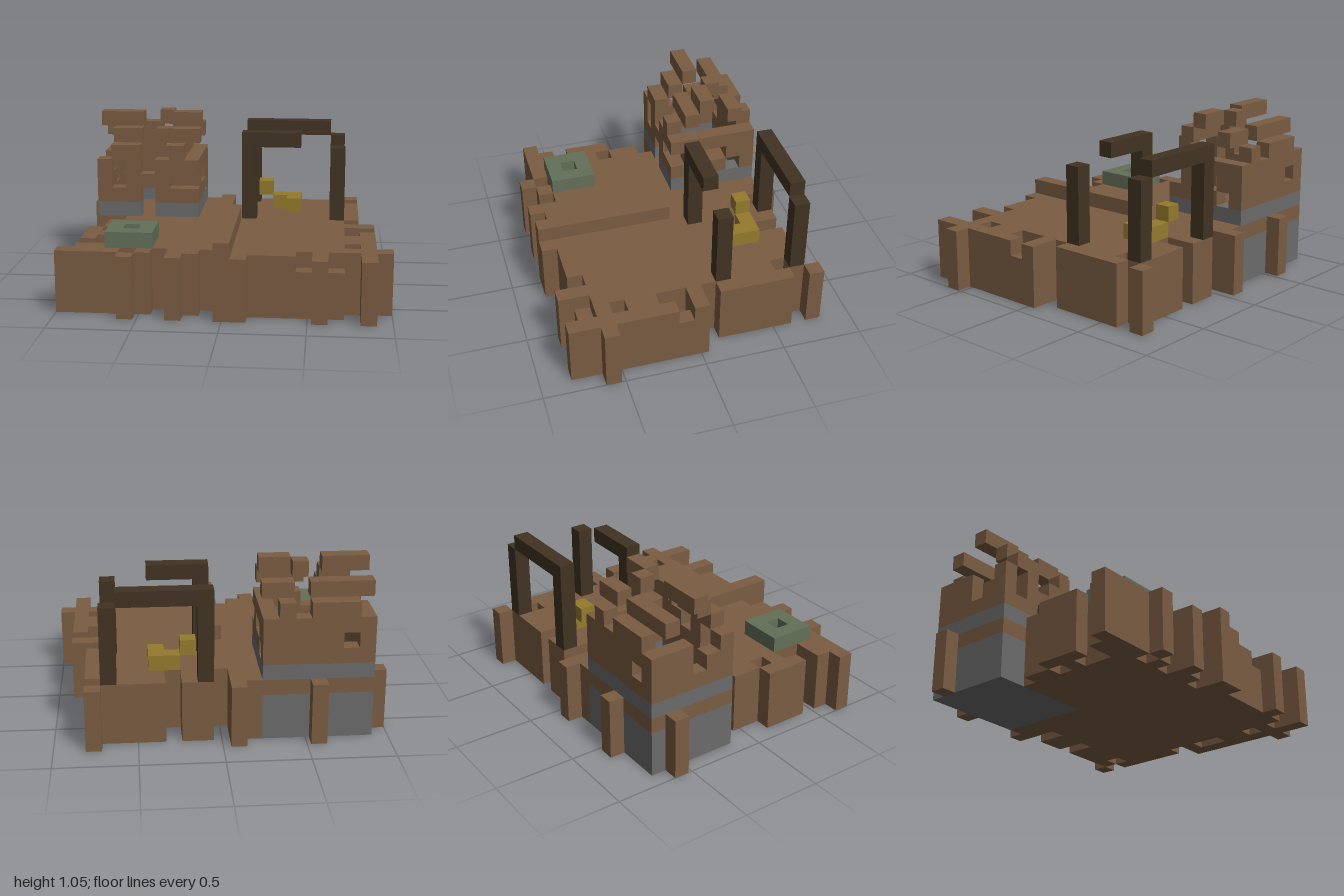
import * as THREE from 'three';
import { mergeGeometries } from 'three/addons/utils/BufferGeometryUtils.js';

const U = 2 / 21; // one block

const mat = (name, color) => {
  const m = new THREE.MeshStandardMaterial({ color });
  m.name = name;
  return m;
};

// Block spanning cells x0..x1, z0..z1 and layers y0..y1 (all inclusive)
function block(x0, x1, y0, y1, z0, z1) {
  const g = new THREE.BoxGeometry((x1 - x0 + 1) * U, (y1 - y0 + 1) * U, (z1 - z0 + 1) * U);
  g.translate(((x0 + x1 + 1) / 2) * U - 1, ((y0 + y1 + 1) / 2) * U, ((z0 + z1 + 1) / 2 - 8.5) * U);
  return g;
}

// "1-3 5" -> [[1,3],[5,5]]
const runs = (s) => s.split(' ').filter(Boolean).map((r) => {
  const [a, b = a] = r.split('-').map(Number);
  return [a, b];
});

export function createModel() {
  const model = new THREE.Group();
  const brown = mat('earthBrown', 0x7a5c42);
  const gray = mat('stoneGray', 0x6b6b6b);
  const green = mat('mossGreen', 0x647059);
  const dark = mat('darkTimber', 0x413322);
  const yellow = mat('strawYellow', 0x957b2d);

  const add = (name, material, blocks) => {
    const mesh = new THREE.Mesh(mergeGeometries(blocks), material);
    mesh.name = name;
    model.add(mesh);
  };

  // Ground slab with ragged edges, one string per row from back to front
  const rows = [
    '4 9 18', '8-9 11-12 14-17', '0 8-9 11-12 14-16 18', '8-18', '8-18', '8-18', '8-18',
    '3-17', '2-19', '2-17', '1 3-17 19', '1-19', '1 3-19', '3-17 19', '1-20',
    '0-3 5 7-8 10-14 16 19', '4 7 10-11 16 19',
  ];
  const ground = [];
  rows.forEach((row, z) => runs(row).forEach(([a, b]) => ground.push(block(a, b, 0, 3, z, z))));
  // lower edge pieces
  ground.push(block(15, 15, 0, 2, 15, 15), block(17, 17, 0, 2, 15, 15), block(19, 19, 0, 2, 9, 9));
  // earth band under the hut
  ground.push(block(1, 7, 3, 3, 1, 6));
  add('ground', brown, ground);
  add('ridge', brown, [block(10, 10, 4, 4, 8, 16)]);

  // Stone foundation and the ring course on top, open at the door
  add('foundation', gray, [block(1, 7, 0, 2, 1, 6)]);
  add('stoneCourse', gray, [
    block(1, 7, 4, 4, 1, 1), block(1, 1, 4, 4, 2, 5), block(7, 7, 4, 4, 2, 5),
    block(1, 3, 4, 4, 6, 6), block(5, 7, 4, 4, 6, 6),
  ]);

  // Broken hut walls, layers 5 and up
  const walls = [];
  const alongX = (z, layers) => layers.forEach((s, i) =>
    runs(s).forEach(([a, b]) => walls.push(block(a, b, 5 + i, 5 + i, z, z))));
  const alongZ = (x, layers) => layers.forEach((s, i) =>
    runs(s).forEach(([a, b]) => walls.push(block(x, x, 5 + i, 5 + i, a, b))));
  alongX(6, ['1-3 5-7', '1 3-5', '1 3 5-7', '2-3 6']);
  alongX(1, ['1-7', '1 3-7', '1-7', '2-4 6']);
  alongZ(1, ['2-5', '2-3 5', '2-3']);
  alongZ(7, ['3-5', '2 5', '2-5']);
  add('hutWalls', brown, walls);

  // Remains of the stepped roof
  add('hutRoof', brown, [
    block(2, 3, 9, 9, 5, 5), block(5, 7, 9, 9, 5, 5),
    block(1, 4, 9, 9, 2, 2), block(6, 7, 9, 9, 2, 2),
    block(1, 3, 10, 10, 4, 4), block(6, 7, 10, 10, 4, 4), block(5, 5, 10, 10, 3, 3),
  ]);

  // Timber frame: four posts and two beams
  const frame = [];
  for (const z of [1, 6]) frame.push(block(11, 11, 4, 9, z, z), block(17, 17, 4, 8, z, z));
  frame.push(block(12, 16, 9, 9, 1, 1), block(12, 14, 9, 9, 6, 6));
  add('timberFrame', dark, frame);

  // Straw heap
  add('straw', yellow, [
    block(12, 12, 5, 5, 3, 3), block(13, 14, 4, 4, 3, 3), block(14, 14, 4, 4, 4, 4),
  ]);

  // Well rim with a stone floor
  add('wellRim', green, [
    block(3, 5, 4, 4, 12, 12), block(3, 5, 4, 4, 14, 14),
    block(3, 3, 4, 4, 13, 13), block(5, 5, 4, 4, 13, 13),
  ]);
  const floor = new THREE.BoxGeometry(U, 0.006, U);
  floor.translate(4.5 * U - 1, 4 * U + 0.003, 5 * U);
  add('wellFloor', gray, [floor]);

  return model;
}
